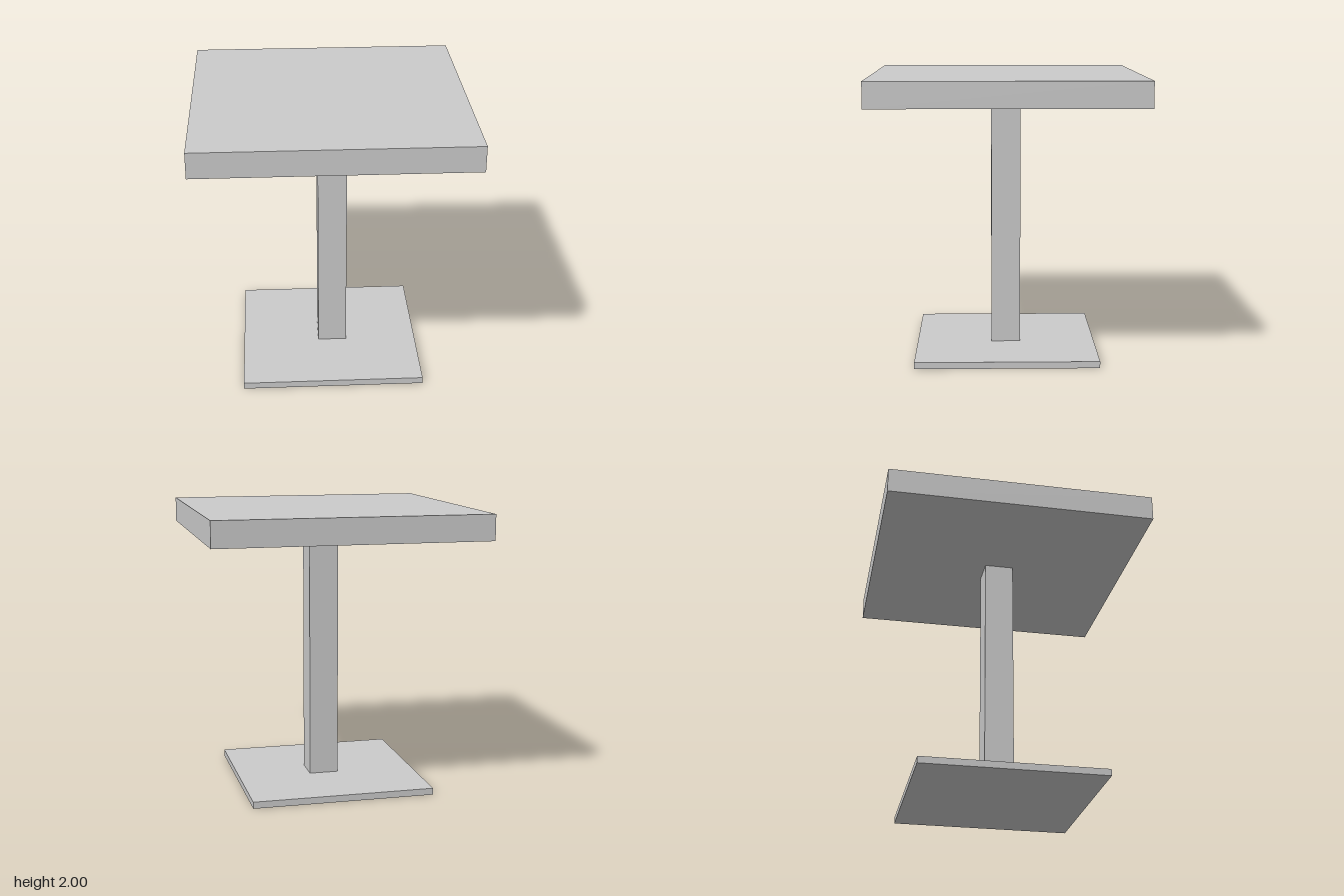
import * as THREE from 'three';

const material = new THREE.MeshStandardMaterial({ color: 0xcccccc, flatShading: true });

// Box resting between two heights
function slab(name, width, depth, bottom, top, x = 0) {
  const mesh = new THREE.Mesh(new THREE.BoxGeometry(width, top - bottom, depth), material);
  mesh.name = name;
  mesh.position.set(x, (bottom + top) / 2, 0);
  return mesh;
}

export function createModel() {
  const table = new THREE.Group();
  table.name = 'pedestalTable';
  table.add(
    slab('basePlate', 1.288, 1.286, 0, 0.047),
    // The post stands slightly off centre
    slab('post', 0.208, 0.208, 0.047, 1.822, 0.02),
    slab('tableTop', 1.888, 1.87, 1.822, 2),
  );
  return table;
}
